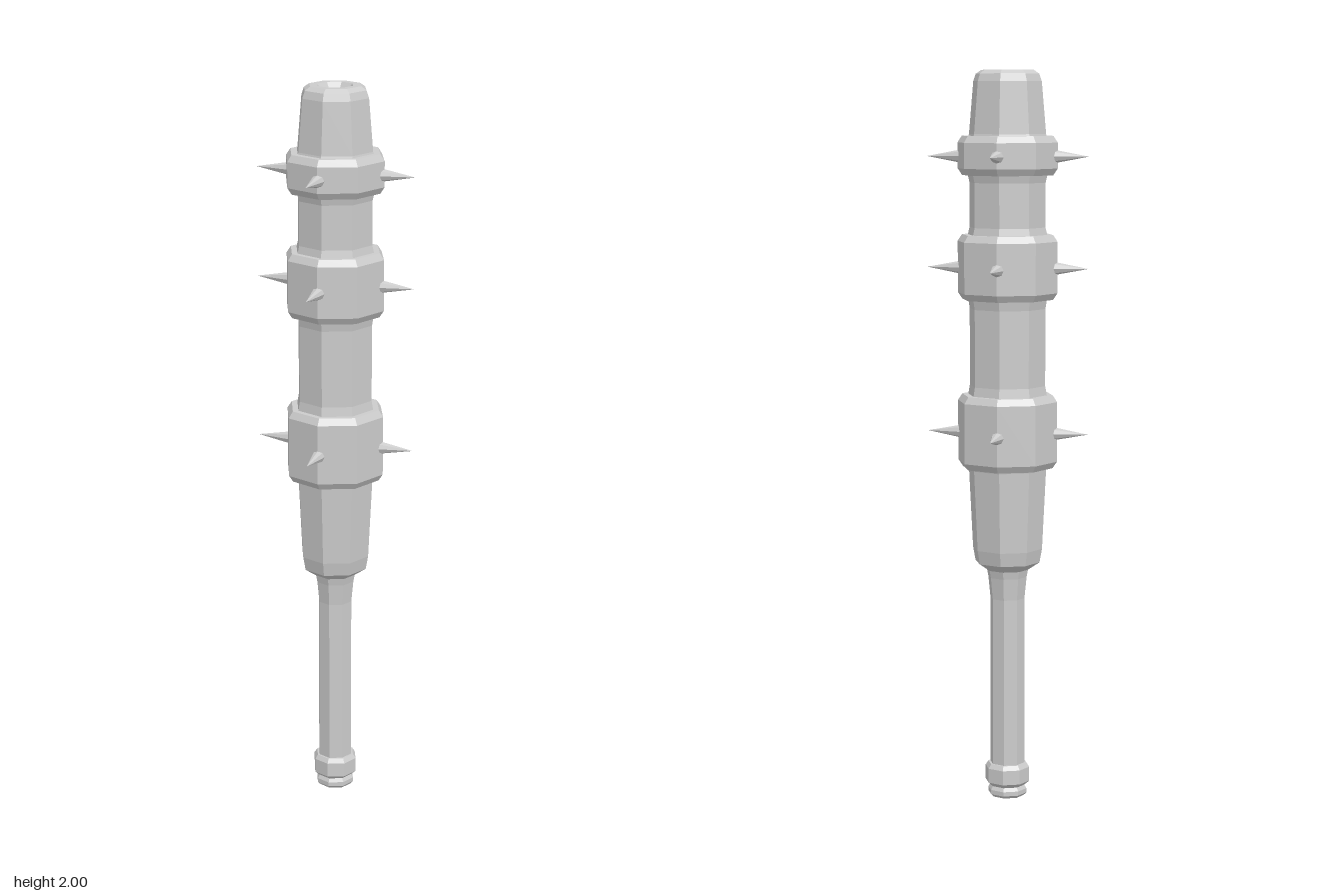
import * as THREE from 'three';

const SIDES = 8;
const material = new THREE.MeshStandardMaterial({ color: 0xcccccc, flatShading: true });

// Octagonal turned part from [radius, height] pairs, listed bottom to top
function turned(name, profile) {
  const points = profile.map(([r, y]) => new THREE.Vector2(r, y));
  const mesh = new THREE.Mesh(new THREE.LatheGeometry(points, SIDES), material);
  mesh.name = name;
  return mesh;
}

// Raised collar with chamfered rims and four spikes
function spikedBand(name, bottom, top, spikeY) {
  const band = new THREE.Group();
  band.name = name;
  band.add(turned('collar', [
    [0.1, bottom], [0.126, bottom], [0.138, bottom + 0.018],
    [0.138, top - 0.018], [0.126, top], [0.1, top],
  ]));
  const length = 0.1;
  for (let i = 0; i < 4; i++) {
    const geometry = new THREE.ConeGeometry(0.019, length, SIDES);
    geometry.rotateZ(-Math.PI / 2);
    geometry.translate(0.223 - length / 2, spikeY, 0);
    geometry.rotateY(i * Math.PI / 2);
    const spike = new THREE.Mesh(geometry, material);
    spike.name = 'spike';
    band.add(spike);
  }
  return band;
}

export function createModel() {
  const club = new THREE.Group();
  club.name = 'spikedClub';

  // Grip with its stepped pommel
  club.add(turned('pommel', [
    [0, 0], [0.046, 0], [0.054, 0.008], [0.054, 0.02], [0.048, 0.03],
    [0.062, 0.042], [0.062, 0.082], [0.054, 0.094], [0.046, 0.094],
  ]));
  club.add(turned('handle', [[0.048, 0.08], [0.048, 0.56], [0.054, 0.62], [0.06, 0.65]]));

  // Thick head, ending in a shallow dished tip
  club.add(turned('head', [
    [0.05, 0.635], [0.065, 0.645], [0.09, 0.662], [0.097, 0.7], [0.108, 0.92],
    [0.112, 0.94], [0.112, 1.11], [0.105, 1.15], [0.105, 1.36], [0.112, 1.4],
    [0.112, 1.55], [0.105, 1.58], [0.105, 1.7], [0.112, 1.73], [0.112, 1.81],
    [0.106, 1.83], [0.094, 1.97], [0.087, 1.99], [0.072, 2],
    [0.05, 2], [0.034, 1.98], [0, 1.98],
  ]));

  club.add(spikedBand('lowerBand', 0.925, 1.125, 1.02));
  club.add(spikedBand('middleBand', 1.385, 1.56, 1.47));
  club.add(spikedBand('upperBand', 1.72, 1.825, 1.77));
  return club;
}
